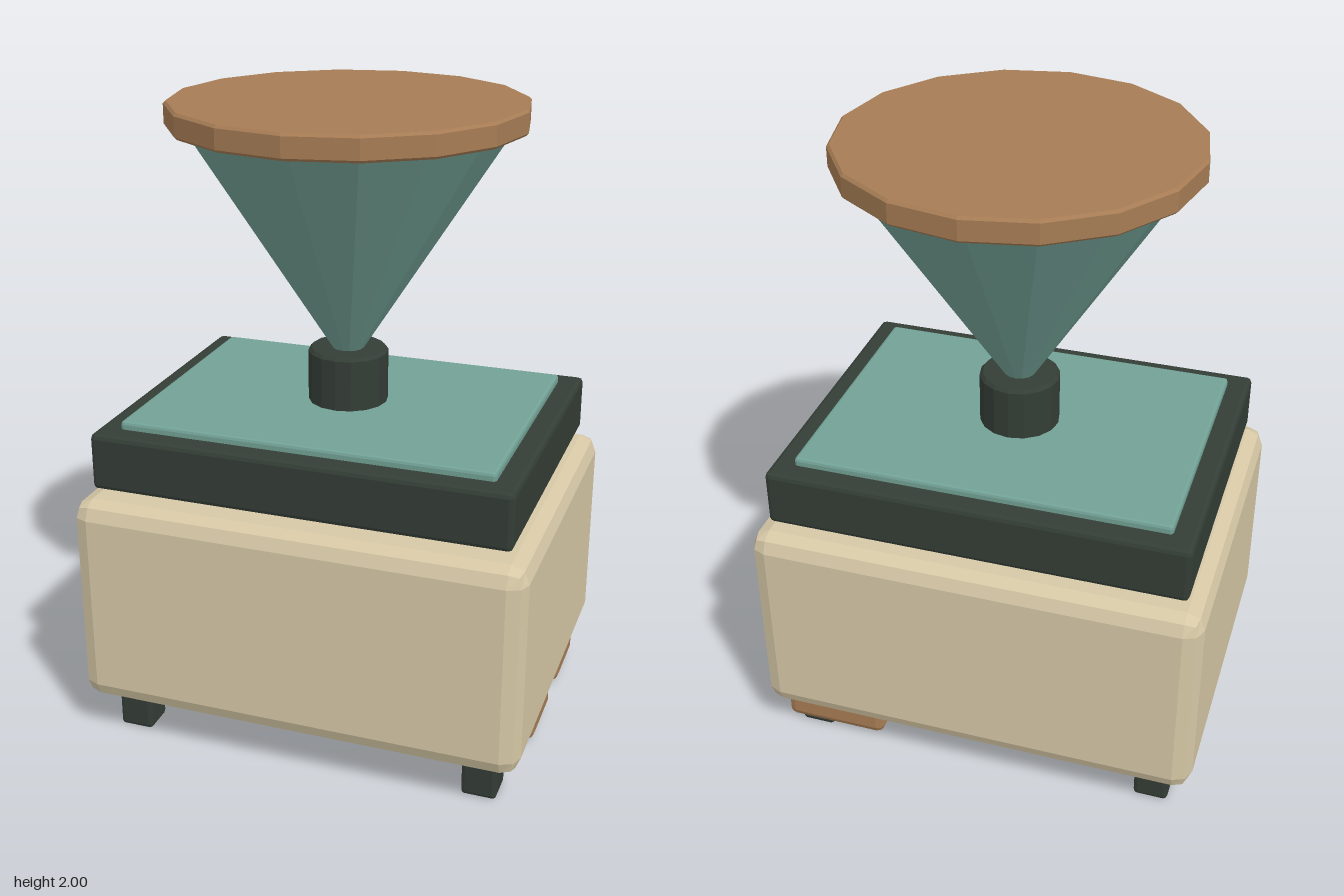
import * as THREE from 'three';
import { RoundedBoxGeometry } from 'three/addons/geometries/RoundedBoxGeometry.js';

const paint = (color) => new THREE.MeshStandardMaterial({ color, flatShading: true });

export function createModel() {
  const model = new THREE.Group();
  model.name = 'hopperMachine';
  const cream = paint(0xd6c8a6);
  const dark = paint(0x343d36);
  const teal = paint(0x72a195);
  const brown = paint(0xa67c54);

  // Bevelled box, placed by its centre and its bottom and top heights
  function block(name, material, [w, d], [y0, y1], [x, z], bevel) {
    const mesh = new THREE.Mesh(new RoundedBoxGeometry(w, y1 - y0, d, 1, bevel), material);
    mesh.name = name;
    mesh.position.set(x, (y0 + y1) / 2, z);
    model.add(mesh);
  }

  // Sixteen-sided turned part from a [radius, height] profile, bottom to top
  function turned(name, material, profile) {
    const points = profile.map(([r, y]) => new THREE.Vector2(r, y));
    const mesh = new THREE.Mesh(new THREE.LatheGeometry(points, 16), material);
    mesh.name = name;
    model.add(mesh);
  }

  // Closed disc profile with a small chamfer on both rims
  const disc = (r, y0, y1, c) => [
    [0, y0], [r - c, y0], [r, y0 + c], [r, y1 - c], [r - c, y1], [0, y1],
  ];

  // Body, with the dark deck floating just above it and an inset panel
  block('body', cream, [1.42, 1.1], [0.145, 0.83], [0, 0], 0.055);
  block('deck', dark, [1.31, 0.985], [0.86, 1.04], [0, 0], 0.015);
  block('deckPanel', teal, [1.17, 0.845], [1.0, 1.065], [0, 0], 0.01);

  // Feet
  for (const x of [-0.575, 0.575]) {
    for (const z of [-0.4, 0.4]) {
      block('foot', dark, [0.11, 0.11], [0, 0.14], [x, z], 0.012);
    }
  }

  // Pads under the left side
  for (const z of [0.025, -0.345]) {
    block('underPad', brown, [0.34, 0.25], [0.02, 0.2], [0.505, z], 0.025);
  }

  // Neck, funnel and lid
  turned('neck', dark, disc(0.125, 1.05, 1.235, 0.01));
  turned('funnel', teal, [[0, 1.2], [0.03, 1.2], [0.05, 1.235], [0.49, 1.925], [0.49, 1.94], [0, 1.94]]);
  turned('lid', brown, disc(0.54, 1.925, 2, 0.008));

  return model;
}
